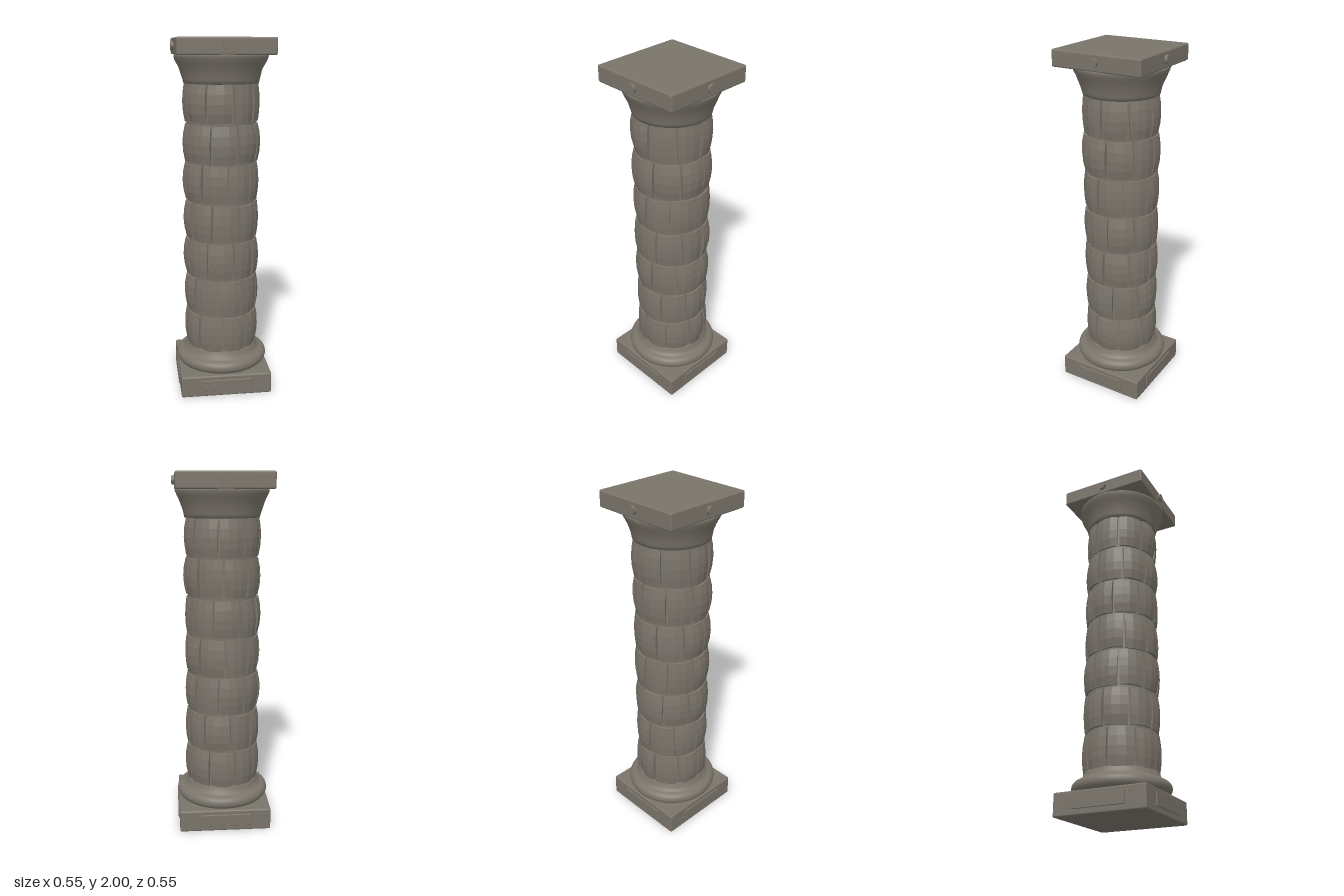
import * as THREE from 'three';
import { RoundedBoxGeometry } from 'three/addons/geometries/RoundedBoxGeometry.js';

const stone = new THREE.MeshStandardMaterial({ color: 0x7a746a });
stone.name = 'stone';
const cutStone = new THREE.MeshStandardMaterial({ color: 0x7a746a, flatShading: true });
cutStone.name = 'cut stone';

// Small seeded generator for hand-cut irregularity
let seed = 7;
const rand = () => (seed = (seed * 16807) % 2147483647) / 2147483647;

function part(parent, name, geometry, material = stone) {
  const mesh = new THREE.Mesh(geometry, material);
  mesh.name = name;
  parent.add(mesh);
  return mesh;
}

// Curved shaft block: a box bent around the y axis, bulging in the middle
function blockGeometry(a0, a1, y0, y1) {
  const geo = new THREE.BoxGeometry(1, 1, 1, 3, 4, 1);
  const p = geo.attributes.position;
  const swell = 0.007 + rand() * 0.009;
  const tilt = (rand() - 0.5) * 0.008;
  const lean = (rand() - 0.5) * 0.008;
  for (let i = 0; i < p.count; i++) {
    const u = p.getX(i), v = p.getY(i), outer = p.getZ(i) > 0;
    const a = a0 + (u + 0.5) * (a1 - a0);
    const bulge = swell * (1 - 4 * v * v) - 0.004 * Math.pow(2 * u, 4);
    const r = outer ? 0.204 + bulge + tilt * v + lean * u : 0.17;
    const y = y0 + (v + 0.5) * (y1 - y0) + (outer ? 0.003 * Math.sin(a * 5 + y0 * 9) : 0);
    p.setXYZ(i, Math.sin(a) * r, y, Math.cos(a) * r);
  }
  geo.computeVertexNormals();
  return geo;
}

function lathe(points, segments = 48) {
  return new THREE.LatheGeometry(points.map(([r, y]) => new THREE.Vector2(r, y)), segments);
}

export function createModel() {
  const model = new THREE.Group();
  model.name = 'stoneColumn';

  // Square plinth and top slab
  part(model, 'plinth', new RoundedBoxGeometry(0.52, 0.125, 0.52, 2, 0.009)).position.y = 0.0625;
  part(model, 'topSlab', new RoundedBoxGeometry(0.52, 0.09, 0.52, 2, 0.009)).position.y = 1.955;

  // Raised panel and round stud on each of the four sides
  for (let i = 0; i < 4; i++) {
    const side = new THREE.Group();
    side.name = 'sideOrnaments';
    side.rotation.y = (i * Math.PI) / 2;
    part(side, 'plinthPanel', new RoundedBoxGeometry(0.295, 0.068, 0.02, 1, 0.003)).position.set(0, 0.066, 0.257);
    const stud = part(side, 'slabStud', new THREE.CylinderGeometry(0.023, 0.023, 0.03, 16), cutStone);
    stud.rotation.x = Math.PI / 2;
    stud.position.set(0, 1.957, 0.261);
    model.add(side);
  }

  // Rounded base moulding
  const ring = [[0.2, 0.12], [0.24, 0.125]];
  for (let i = 0; i <= 10; i++) {
    const a = -Math.PI / 2 + (i / 10) * Math.PI;
    ring.push([0.232 + 0.035 * Math.cos(a), 0.163 + 0.036 * Math.sin(a)]);
  }
  ring.push([0.222, 0.205], [0.211, 0.217], [0.206, 0.235], [0.2, 0.245], [0.17, 0.247]);
  part(model, 'baseMoulding', lathe(ring));

  // Mortar core seen in the joints
  const core = part(model, 'mortarCore', new THREE.CylinderGeometry(0.192, 0.192, 1.56, 36, 1, true));
  core.position.y = 1.0;

  // Seven courses of nine blocks, joints staggered (degrees from the front)
  const shaft = new THREE.Group();
  shaft.name = 'shaft';
  const offsets = [-4, -12, 12, 20, 3, 18, 11];
  const pitch = 0.2185;
  offsets.forEach((offset, row) => {
    const y0 = 0.241 + row * pitch;
    for (let k = 0; k < 9; k++) {
      const a = THREE.MathUtils.degToRad(offset + k * 40);
      const width = THREE.MathUtils.degToRad(40);
      const gap = 0.024 + rand() * 0.012;
      part(shaft, 'shaftBlock', blockGeometry(a + gap, a + width - gap, y0 + rand() * 0.004, y0 + 0.205 + rand() * 0.004), cutStone);
    }
  });
  model.add(shaft);

  // Flared capital with a gently hammered surface
  const capital = lathe([[0.17, 1.757], [0.208, 1.76], [0.213, 1.78], [0.219, 1.805], [0.229, 1.835],
    [0.242, 1.862], [0.253, 1.883], [0.259, 1.9], [0.259, 1.912], [0.2, 1.914]]);
  const p = capital.attributes.position;
  for (let i = 0; i < p.count; i++) {
    const x = p.getX(i), y = p.getY(i), z = p.getZ(i);
    const a = Math.atan2(x, z);
    const fade = Math.sin(Math.PI * THREE.MathUtils.clamp((y - 1.76) / 0.15, 0, 1));
    const s = 1 + 0.018 * fade * Math.sin(a * 9 + y * 25) * Math.cos(a * 4 + y * 40);
    p.setXYZ(i, x * s, y, z * s);
  }
  part(model, 'capital', capital);

  return model;
}
